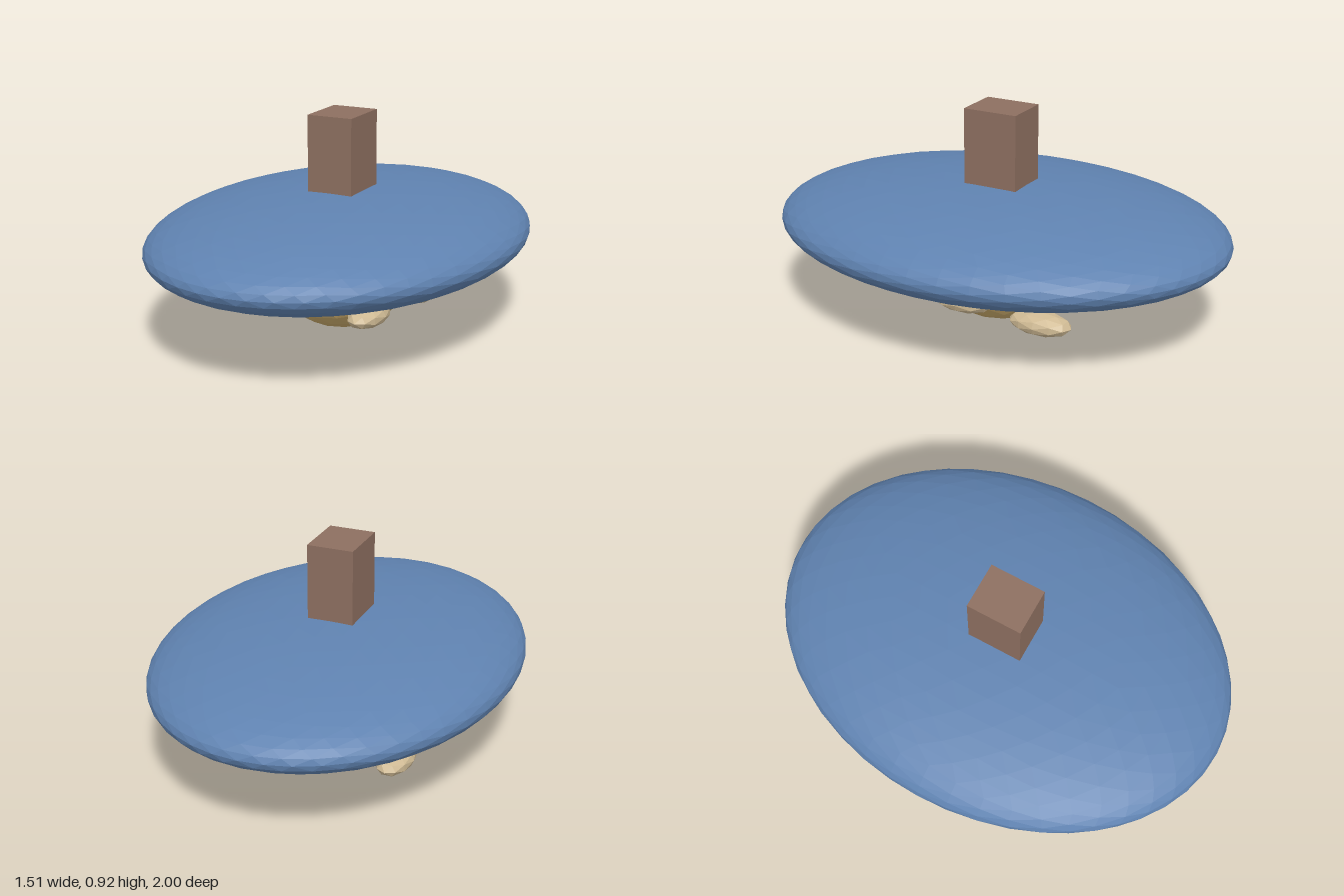
import * as THREE from 'three';

const material = (name, color) => {
  const m = new THREE.MeshStandardMaterial({ color, flatShading: true });
  m.name = name;
  return m;
};

// Faceted ball: an icosahedron whose triangles are split in four, level times
function facetedBall(level) {
  const base = new THREE.IcosahedronGeometry(1, 0).getAttribute('position');
  let points = [];
  for (let i = 0; i < base.count; i++) points.push(new THREE.Vector3().fromBufferAttribute(base, i));
  const mid = (p, q) => p.clone().add(q).normalize();
  for (let l = 0; l < level; l++) {
    const next = [];
    for (let i = 0; i < points.length; i += 3) {
      const [a, b, c] = points.slice(i, i + 3);
      const ab = mid(a, b), bc = mid(b, c), ca = mid(c, a);
      next.push(a, ab, ca, ab, b, bc, ca, bc, c, ab, bc, ca);
    }
    points = next;
  }
  // An edge of the icosahedron crosses the z axis lying level
  return new THREE.BufferGeometry().setFromPoints(points).rotateX(Math.PI / 2);
}

function ellipsoid(name, level, radii, center, mat) {
  const geometry = facetedBall(level).scale(...radii);
  geometry.computeVertexNormals();
  const mesh = new THREE.Mesh(geometry, mat);
  mesh.name = name;
  mesh.position.set(...center);
  return mesh;
}

export function createModel() {
  const blue = material('blue', 0x5f82b0);
  const gold = material('gold', 0xc8a96a);
  const sand = material('sand', 0xcfba94);
  const brown = material('brown', 0x8d6f60);

  const model = new THREE.Group();
  model.name = 'model';

  // Flattened oval body and the dome below it
  model.add(ellipsoid('body', 3, [0.757, 0.195, 1], [0, 0.405, 0], blue));
  model.add(ellipsoid('lowerDome', 2, [0.276, 0.2, 0.278], [0, 0.2, 0], gold));

  // Upright block on top
  const block = new THREE.Mesh(new THREE.BoxGeometry(0.2, 0.4, 0.24), brown);
  block.name = 'topBlock';
  block.position.set(0, 0.72, 0);
  model.add(block);

  // Three pods along each side, spreading apart towards the back
  const pods = [['front', 0.3, 0.36], ['middle', 0.355, -0.02], ['back', 0.405, -0.4]];
  for (const [place, x, z] of pods) {
    for (const side of [1, -1]) {
      const name = place + (side > 0 ? 'Left' : 'Right') + 'Pod';
      model.add(ellipsoid(name, 1, [0.073, 0.047, 0.136], [side * x, 0.193, z], sand));
    }
  }
  return model;
}
